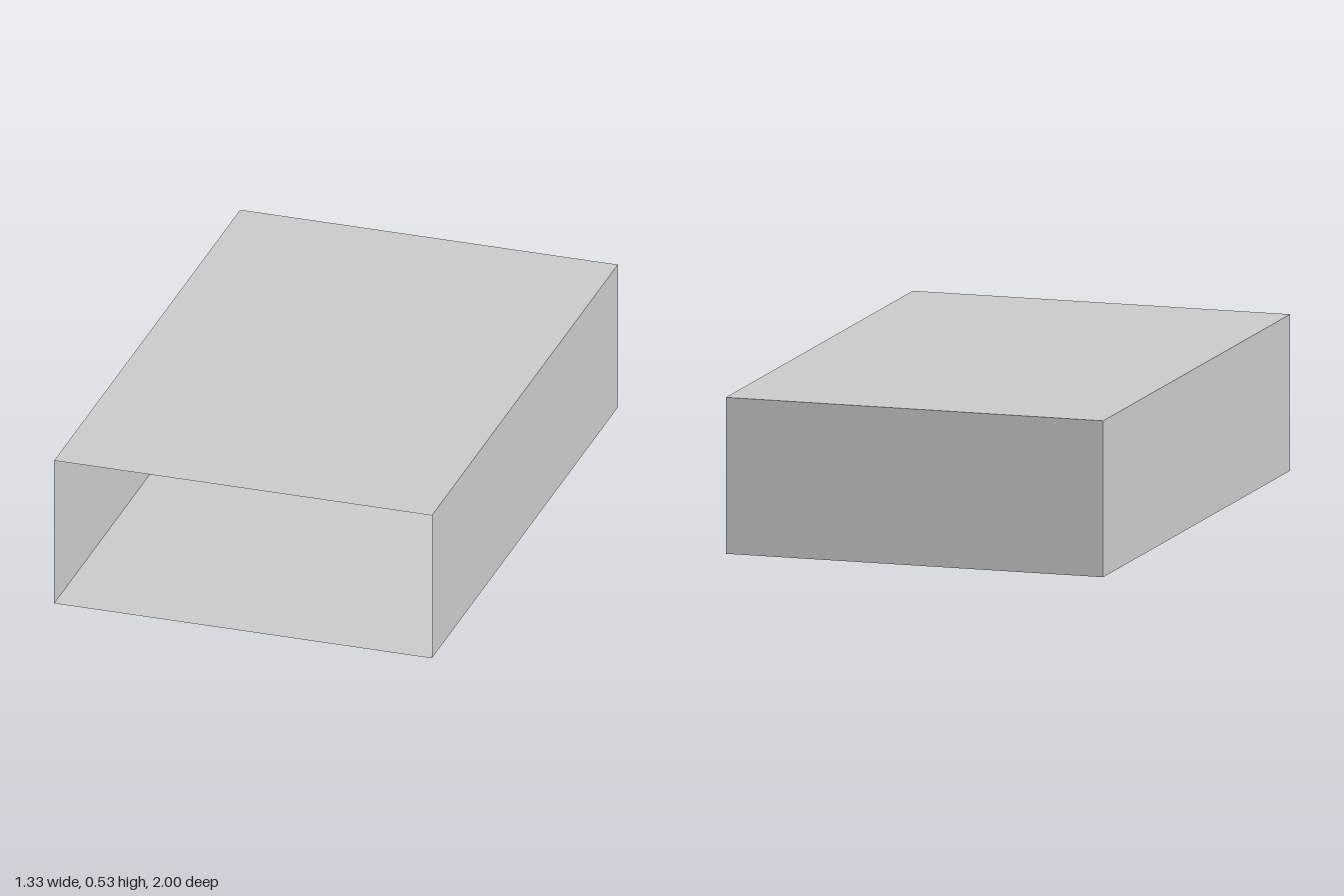
import * as THREE from 'three';

const W = 1.333, H = 0.534, D = 2;
const UNIT = { z0: -0.97, z1: -0.76 }; // extent of the wall shelf along the wall

export function createModel() {
  const model = new THREE.Group();
  const grey = new THREE.MeshStandardMaterial({ color: 0xcccccc, side: THREE.DoubleSide });
  grey.name = 'light grey';

  const add = (parent, name, geometry, x = 0, y = 0, z = 0) => {
    const mesh = new THREE.Mesh(geometry, grey);
    mesh.name = name;
    mesh.position.set(x, y, z);
    parent.add(mesh);
    return mesh;
  };

  // Room shell: thin sheets, open at the front
  const room = new THREE.Group();
  room.name = 'room';
  model.add(room);
  for (const [name, y] of [['floor', 0], ['ceiling', H]])
    add(room, name, new THREE.PlaneGeometry(W, D).rotateX(-Math.PI / 2), 0, y, 0);
  for (const [name, x] of [['rightWall', -W / 2], ['leftWall', W / 2]])
    add(room, name, new THREE.PlaneGeometry(D, H).rotateY(Math.PI / 2), x, H / 2, 0);
  add(room, 'backWall', new THREE.PlaneGeometry(W, H), 0, H / 2, -D / 2);

  // Shelf unit standing against the right wall
  const unit = new THREE.Group();
  unit.name = 'shelfUnit';
  model.add(unit);
  const length = UNIT.z1 - UNIT.z0, mid = (UNIT.z0 + UNIT.z1) / 2;
  const box = (name, x0, x1, y0, y1, z = mid, d = length) =>
    add(unit, name, new THREE.BoxGeometry(x1 - x0, y1 - y0, d), (x0 + x1) / 2, (y0 + y1) / 2, z);

  box('backPanel', -0.665, -0.659, 0, 0.335);
  box('base', -0.659, -0.56, 0.003, 0.022);
  box('baseLip', -0.659, -0.552, 0.022, 0.025);

  // Shelf boards with tapered brackets under both ends
  const bracket = new THREE.Shape();
  bracket.moveTo(0, 0);
  bracket.lineTo(0.092, 0);
  bracket.lineTo(0.078, -0.009);
  bracket.lineTo(0.03, -0.007);
  bracket.lineTo(0.012, -0.005);
  bracket.lineTo(0, -0.012);
  const bracketGeometry = new THREE.ExtrudeGeometry(bracket, { depth: 0.004, bevelEnabled: false });
  for (const y of [0.107, 0.192, 0.278]) {
    box('shelf', -0.659, -0.567, y - 0.003, y);
    for (const z of [UNIT.z0, UNIT.z1 - 0.004])
      add(unit, 'shelfBracket', bracketGeometry, -0.659, y, z);
  }

  // Upright packets on the lower shelf
  for (let i = 0; i < 5; i++)
    box('packet', -0.643 + i * 0.013, -0.632 + i * 0.013, 0.107, 0.165, mid, 0.045);

  // Carton and small goblet on the middle shelf
  box('carton', -0.659, -0.618, 0.192, 0.242, mid - 0.03, 0.06);
  const profile = [[0, 0], [0.008, 0], [0.003, 0.008], [0.004, 0.02], [0.01, 0.042], [0, 0.042]];
  const goblet = new THREE.LatheGeometry(profile.map(([r, y]) => new THREE.Vector2(r, y)), 16);
  add(unit, 'goblet', goblet, -0.587, 0.192, mid + 0.03);

  return model;
}
